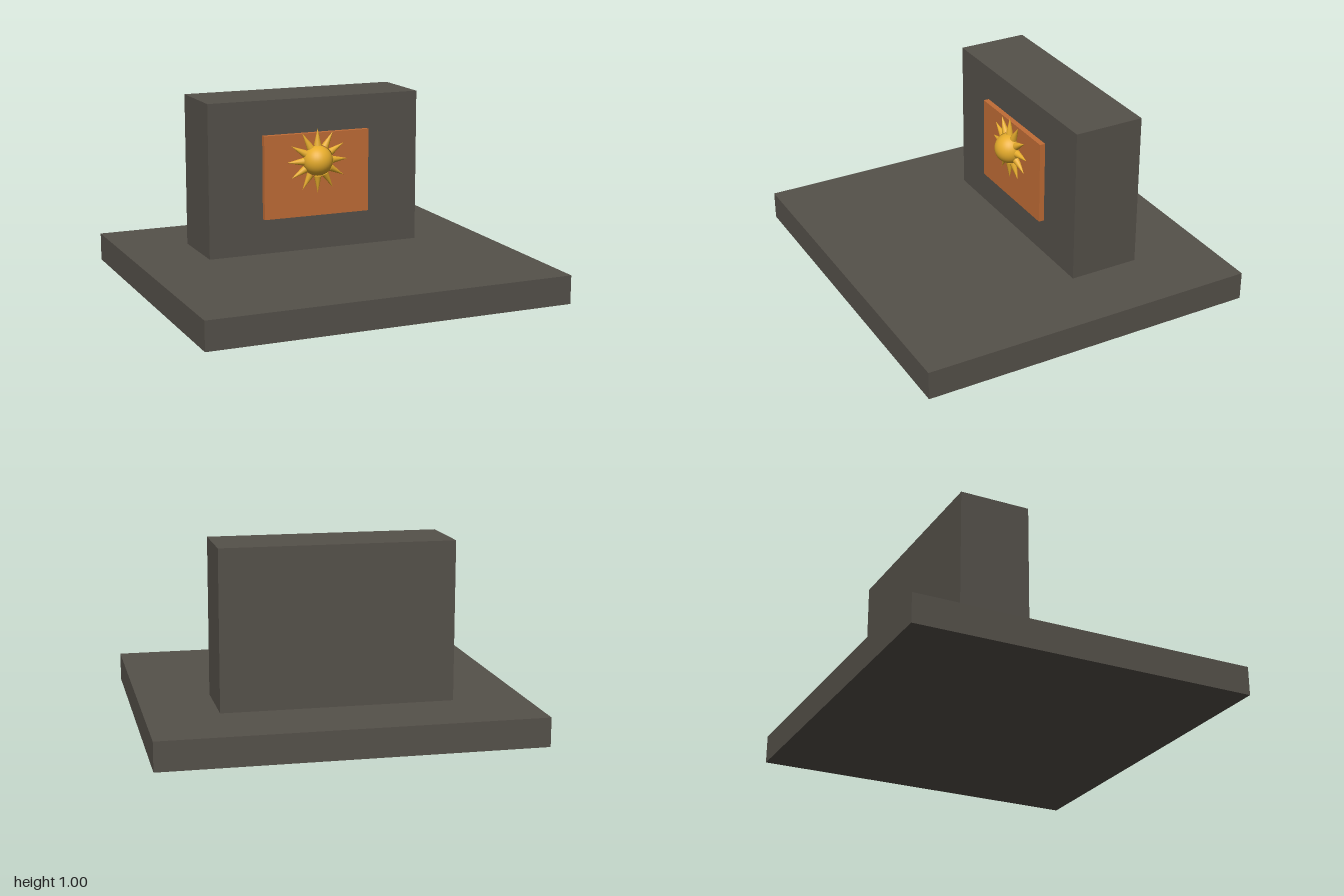
import * as THREE from 'three';

export function createModel() {
  const model = new THREE.Group();
  model.name = 'monument';
  const stone = new THREE.MeshStandardMaterial({ color: 0x55514a });
  const copper = new THREE.MeshStandardMaterial({ color: 0xc06c36 });
  const gold = new THREE.MeshStandardMaterial({ color: 0xe6ac2c });

  // Box given by its width and its y and z extents, centred on x = 0
  function block(name, width, y0, y1, z0, z1, material) {
    const mesh = new THREE.Mesh(new THREE.BoxGeometry(width, y1 - y0, z1 - z0), material);
    mesh.position.set(0, (y0 + y1) / 2, (z0 + z1) / 2);
    mesh.name = name;
    model.add(mesh);
  }
  block('base', 2, 0, 0.154, -0.923, 0.923, stone);
  block('wall', 1.23, 0.154, 1, -0.5, -0.115, stone);
  block('plaque', 0.615, 0.35, 0.81, -0.115, -0.085, copper);

  // Sun ornament: a ball ringed by twelve cone rays
  const sun = new THREE.Group();
  sun.name = 'sun';
  sun.position.set(0, 0.657, -0.077);
  model.add(sun);

  const ball = new THREE.Mesh(new THREE.SphereGeometry(0.083, 32, 24), gold);
  ball.name = 'sunBall';
  sun.add(ball);

  const rayLength = 0.094, rayTip = 0.179;
  const rayGeometry = new THREE.ConeGeometry(0.021, rayLength, 16);
  rayGeometry.translate(0, rayTip - rayLength / 2, 0);
  for (let i = 0; i < 12; i++) {
    const ray = new THREE.Mesh(rayGeometry, gold);
    ray.rotation.z = (i * Math.PI) / 6;
    ray.name = 'sunRay';
    sun.add(ray);
  }
  return model;
}
